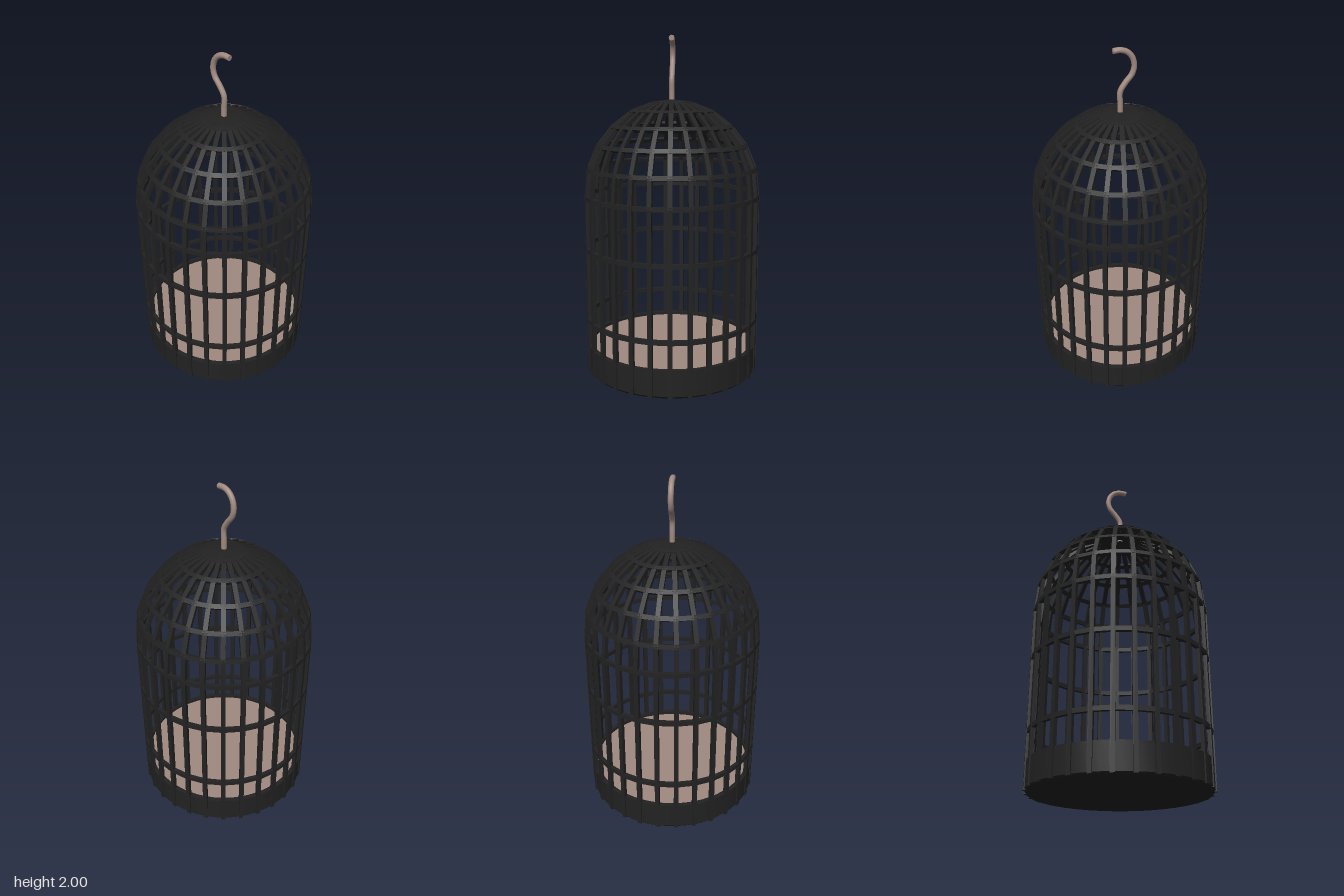
import * as THREE from 'three';
import { toCreasedNormals } from 'three/addons/utils/BufferGeometryUtils.js';

const BARS = 29;
const HALF_W = 0.013; // half width of every wire
const HALF_D = 0.011; // half depth of every wire

// Centre line of one bar, from the foot to the top of the dome: [radius, height]
const PROFILE = [
  [0.511, 0.004], [0.511, 1.065], [0.494, 1.228], [0.438, 1.363],
  [0.352, 1.473], [0.24, 1.56], [0.118, 1.608], [0, 1.622],
].map(([r, y]) => new THREE.Vector2(r, y));

// Outward normal of the profile at point i
function profileNormal(i) {
  const a = PROFILE[Math.max(i - 1, 0)];
  const b = PROFILE[Math.min(i + 1, PROFILE.length - 1)];
  const t = b.clone().sub(a).normalize();
  if (i <= 1) return new THREE.Vector2(1, 0);
  if (i === PROFILE.length - 1) return new THREE.Vector2(0, 1);
  return new THREE.Vector2(t.y, -t.x);
}

// Flat bar following the profile
function barGeometry() {
  const outer = PROFILE.map((p, i) => p.clone().addScaledVector(profileNormal(i), HALF_D));
  const inner = PROFILE.map((p, i) => p.clone().addScaledVector(profileNormal(i), -HALF_D));
  const shape = new THREE.Shape([...outer, ...inner.reverse()]);
  const geo = new THREE.ExtrudeGeometry(shape, { depth: 2 * HALF_W, bevelEnabled: false });
  return geo.translate(0, 0, -HALF_W);
}

// Faceted hoop with a rectangular section, its corners on the bars
function hoopGeometry(centre, normal) {
  const along = new THREE.Vector2(-normal.y, normal.x);
  const corners = [[-1, -1], [1, -1], [1, 1], [-1, 1], [-1, -1]].map(([d, w]) =>
    centre.clone().addScaledVector(normal, d * HALF_D).addScaledVector(along, w * HALF_W));
  return new THREE.LatheGeometry(corners, BARS, Math.PI / 2);
}

export function createModel() {
  const model = new THREE.Group();
  model.name = 'birdcage';
  const black = new THREE.MeshStandardMaterial({ color: 0x222222 });
  const wire = new THREE.MeshStandardMaterial({ color: 0x222222, flatShading: true });
  const tan = new THREE.MeshStandardMaterial({ color: 0xa08a80 });

  const add = (parent, name, geometry, material) => {
    const mesh = new THREE.Mesh(geometry, material);
    mesh.name = name;
    parent.add(mesh);
    return mesh;
  };

  // Base tray with a shallow rim
  const trayProfile = [
    [0, 0], [0.505, 0], [0.515, 0.012], [0.515, 0.165], [0.488, 0.165], [0.488, 0.14], [0, 0.14],
  ].map(([r, y]) => new THREE.Vector2(r, y));
  const tray = toCreasedNormals(new THREE.LatheGeometry(trayProfile, 58, Math.PI / 2), 0.5);
  add(model, 'baseTray', tray, black);

  // Floor inside the rim
  const floor = add(model, 'floor', new THREE.CircleGeometry(0.488, 58), tan);
  floor.rotation.x = -Math.PI / 2;
  floor.position.y = 0.146;

  // Upright bars meeting at the top of the dome
  const bars = new THREE.Group();
  bars.name = 'bars';
  model.add(bars);
  const barShape = barGeometry();
  for (let i = 0; i < BARS; i++) {
    add(bars, 'bar', barShape, wire).rotation.y = (i / BARS) * Math.PI * 2;
  }

  // Hoops on the straight wall and up the dome
  const hoops = new THREE.Group();
  hoops.name = 'hoops';
  model.add(hoops);
  for (const y of [0.325, 0.755]) {
    add(hoops, 'wallHoop', hoopGeometry(new THREE.Vector2(0.511, y), new THREE.Vector2(1, 0)), wire);
  }
  for (let i = 1; i < PROFILE.length - 1; i++) {
    add(hoops, 'domeHoop', hoopGeometry(PROFILE[i], profileNormal(i)), wire);
  }

  // Hanging hook, lying in a diagonal plane
  const hook = new THREE.Group();
  hook.name = 'hook';
  hook.rotation.y = -0.69;
  model.add(hook);
  const path = new THREE.CatmullRomCurve3([
    [0, 1.6], [0, 1.68], [0, 1.75], [-0.03, 1.8], [-0.066, 1.845], [-0.078, 1.89],
    [-0.066, 1.94], [-0.036, 1.972], [0, 1.984], [0.04, 1.982],
  ].map(([x, y]) => new THREE.Vector3(x, y, 0)));
  const R = 0.016;
  add(hook, 'hookRod', new THREE.TubeGeometry(path, 48, R, 12), tan);
  const tip = add(hook, 'hookTip', new THREE.CircleGeometry(R, 12), tan);
  tip.position.copy(path.getPoint(1));
  tip.lookAt(path.getPoint(1).add(path.getTangent(1)));
  tip.rotation.set(0, Math.PI / 2, 0);

  return model;
}
